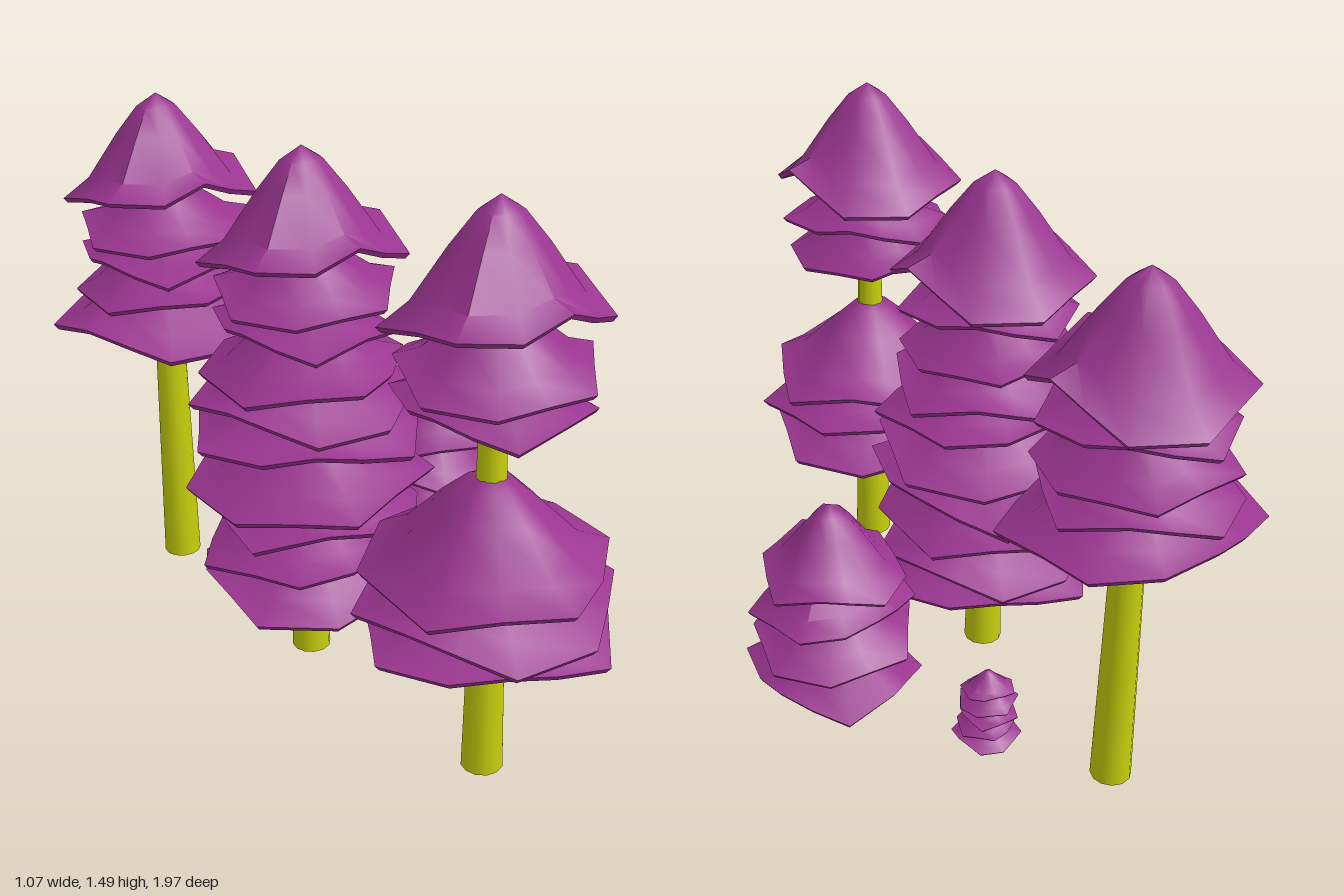
import * as THREE from 'three';
import { toCreasedNormals } from 'three/addons/utils/BufferGeometryUtils.js';

const leafMat = new THREE.MeshStandardMaterial({ color: 0x9a3590, side: THREE.DoubleSide });
const barkMat = new THREE.MeshStandardMaterial({ color: 0xc8d00c });

// Section of a tier: [share of radius, share of drop], tip to rim
const bell = [[0, 0], [0.2, 0.13], [0.42, 0.4], [0.73, 0.83], [1, 1]];
const spike = [[0, 0], [0.14, 0.3], [0.32, 0.6], [0.62, 0.86], [1, 1]];
// Crooked rim, counter-clockwise from the front: [degrees, share of radius, lift per radius]
const rim = [
  [0, 0.87, 0.21], [28, 0.86, 0.04], [54, 1.03, -0.1], [90, 0.96, 0.17],
  [112, 0.89, 0], [138, 1.02, -0.17], [180, 0.96, -0.22], [212, 0.88, -0.13],
  [240, 1.04, -0.1], [270, 0.91, 0.02], [298, 1.06, 0.09], [330, 0.87, 0.03],
];

// Wavy umbrella with a thin rim and a hollow underside
function tierGeometry(r, h, section, turn, wave) {
  const spokes = rim.map(([deg, share, lift]) => ({
    angle: THREE.MathUtils.degToRad(deg) + turn, radius: share * r, lift: lift * r * wave,
  }));
  // rows: share of radius, height, share of rim lift
  const rows = section.map(([f, d]) => [f, -h * d, f * f]);
  rows.push([0.96, -h - 0.05 * r, 1], [0.5, -h * 0.94, 0.4], [0, -h * 0.85, 0]);
  const point = (i, j) => {
    const [f, y, w] = rows[i];
    const s = spokes[j % spokes.length];
    return [Math.sin(s.angle) * s.radius * f, y + s.lift * w, Math.cos(s.angle) * s.radius * f];
  };
  const pos = [];
  const last = rows.length - 2;
  for (let i = 0; i <= last; i++) {
    for (let j = 0; j < spokes.length; j++) {
      const a = point(i, j), b = point(i + 1, j), c = point(i + 1, j + 1), d = point(i, j + 1);
      if (i < last) pos.push(...a, ...b, ...c);
      if (i > 0) pos.push(...a, ...(i < last ? c : b), ...d);
    }
  }
  const g = new THREE.BufferGeometry();
  g.setAttribute('position', new THREE.Float32BufferAttribute(pos, 3));
  return toCreasedNormals(g, 0.9);
}

// tiers: [tip height, mean rim height, radius], top to bottom; each is turned from the last.
// The crown of a tall tree is wavier than the tiers below it.
function makeTree({ name, x, z, trunk, tiers, section = bell, turn = 0, crownWave = 0.6 }) {
  const tree = new THREE.Group();
  tree.name = name;
  tree.position.set(x, 0, z);
  const [y0, y1, r0, r1] = trunk;
  const stem = new THREE.Mesh(new THREE.CylinderGeometry(r1, r0, y1 - y0, 12), barkMat);
  stem.name = 'trunk';
  stem.position.y = (y0 + y1) / 2;
  tree.add(stem);
  tiers.forEach(([tip, rimY, r], i) => {
    const wave = i === 0 ? crownWave : 0.55;
    const m = new THREE.Mesh(tierGeometry(r, tip - rimY, section, turn + i * 2.4, wave), leafMat);
    m.name = 'foliageTier' + (i + 1);
    m.position.y = tip;
    tree.add(m);
  });
  return tree;
}

export function createModel() {
  const model = new THREE.Group();
  model.name = 'treeGrove';
  const trees = [
    { // two foliage clumps with bare trunk between
      name: 'frontTallTree', x: -0.2, z: 0.665, crownWave: 1,
      trunk: [0, 1.2, 0.054, 0.029],
      tiers: [[1.485, 1.225, 0.26], [1.25, 1.09, 0.24], [1.16, 1.0, 0.235],
        [0.83, 0.605, 0.325], [0.69, 0.51, 0.325], [0.57, 0.405, 0.31]],
    },
    { // foliage almost to the ground
      name: 'middleTallTree', x: -0.21, z: -0.02, crownWave: 1,
      trunk: [0.01, 1.15, 0.053, 0.029],
      tiers: [[1.445, 1.185, 0.26], [1.22, 1.08, 0.24], [1.13, 0.98, 0.24], [1.05, 0.88, 0.29],
        [0.96, 0.8, 0.3], [0.85, 0.69, 0.31], [0.74, 0.57, 0.32], [0.66, 0.49, 0.315],
        [0.54, 0.37, 0.3], [0.44, 0.27, 0.3]],
    },
    { // long bare trunk
      name: 'backTallTree', x: -0.2, z: -0.69, crownWave: 1,
      trunk: [0.01, 1.15, 0.054, 0.035],
      tiers: [[1.445, 1.185, 0.26], [1.22, 1.08, 0.24], [1.13, 0.98, 0.245], [1.07, 0.91, 0.27],
        [1, 0.81, 0.32]],
    },
    {
      name: 'mediumTree', x: 0.32, z: -0.12, turn: 1,
      trunk: [0.05, 0.5, 0.041, 0.028],
      tiers: [[0.675, 0.49, 0.205], [0.57, 0.385, 0.215], [0.45, 0.28, 0.22], [0.38, 0.16, 0.235]],
    },
    {
      name: 'smallTree', x: 0.155, z: 0.285, turn: 2, section: spike, crownWave: 0.9,
      trunk: [0.02, 0.22, 0.021, 0.012],
      tiers: [[0.395, 0.225, 0.14], [0.27, 0.165, 0.13], [0.22, 0.09, 0.15]],
    },
    {
      name: 'tinyTree', x: 0.035, z: -0.45, turn: 3,
      trunk: [0.015, 0.2, 0.015, 0.009],
      tiers: [[0.265, 0.21, 0.07], [0.23, 0.175, 0.078], [0.19, 0.135, 0.082],
        [0.155, 0.1, 0.085], [0.12, 0.065, 0.09]],
    },
  ];
  trees.forEach((t) => model.add(makeTree(t)));
  return model;
}
